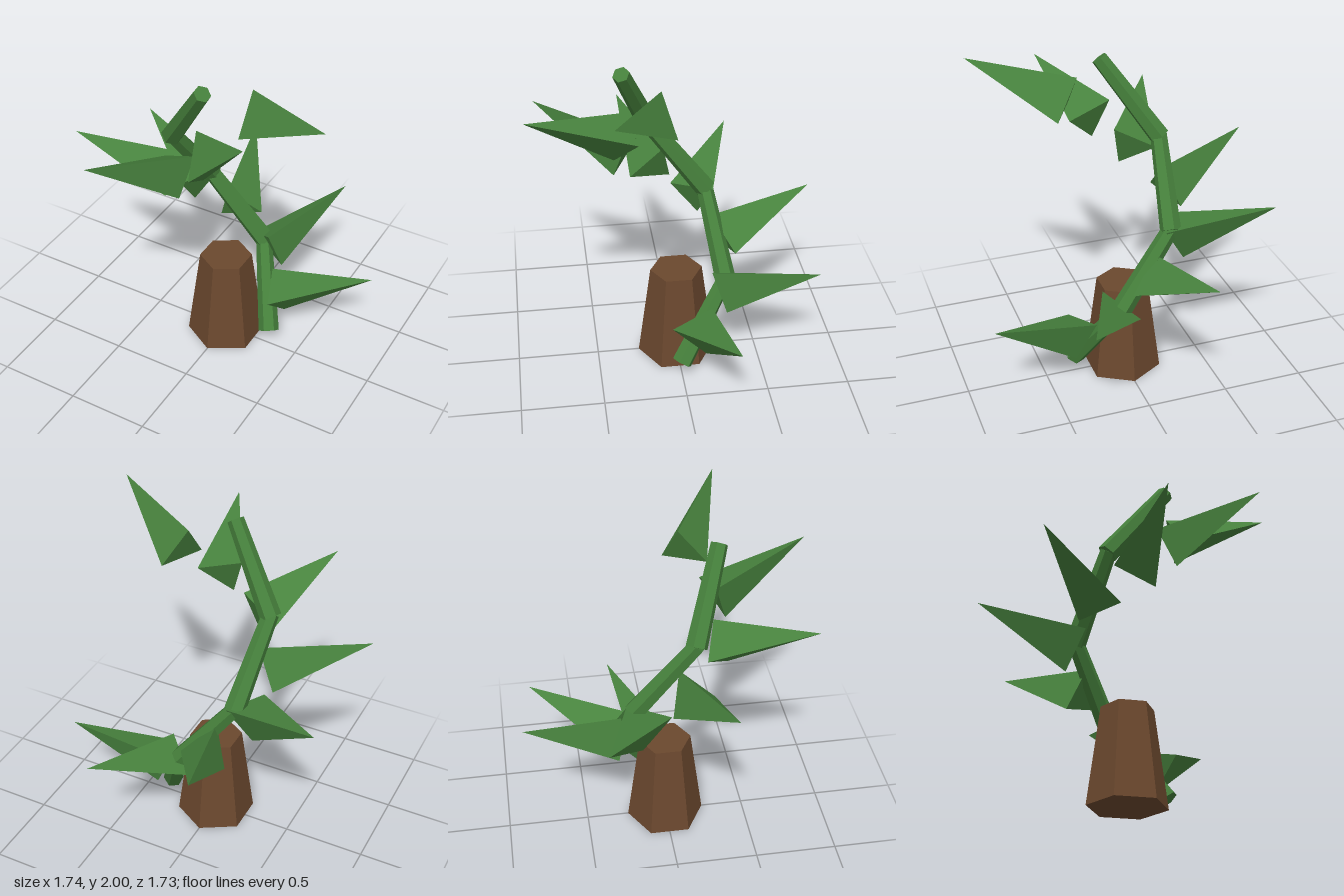
import * as THREE from 'three';

const UP = new THREE.Vector3(0, 1, 0);

// Point on a spiral winding around the y axis, from +x towards -z
const spiral = (angle, radius, y) =>
  new THREE.Vector3(Math.cos(angle) * radius, y, -Math.sin(angle) * radius);

export function createModel() {
  const material = (name, color) => {
    const m = new THREE.MeshStandardMaterial({ color, flatShading: true });
    m.name = name;
    return m;
  };
  const bark = material('bark brown', 0x6b482e);
  const vineGreen = material('vine green', 0x457f3b);
  const leafGreen = material('leaf green', 0x48833e);

  const model = new THREE.Group();
  model.name = 'stumpWithVine';

  // Mesh whose own y axis runs from one point to another
  const addBetween = (name, geometry, mat, from, to) => {
    const mesh = new THREE.Mesh(geometry, mat);
    mesh.name = name;
    mesh.position.addVectors(from, to).multiplyScalar(0.5);
    mesh.quaternion.setFromUnitVectors(UP, to.clone().sub(from).normalize());
    model.add(mesh);
  };

  // Tapered six-sided stump
  const stump = new THREE.Mesh(new THREE.CylinderGeometry(0.16, 0.24, 0.6, 6), bark);
  stump.name = 'stump';
  stump.position.y = 0.3;
  model.add(stump);

  // Four straight vine pieces following the spiral
  for (let i = 0; i < 4; i++) {
    const a = spiral(i * 1.2, 0.31, 0.12 + i * 0.453);
    const b = spiral((i + 1) * 1.2, 0.31, 0.12 + (i + 1) * 0.453);
    const length = a.distanceTo(b) + 0.02;
    addBetween('vineSegment' + (i + 1),
      new THREE.CylinderGeometry(0.05, 0.064, length, 6), vineGreen, a, b);
  }

  // Eight three-sided leaves fanning outwards and rising
  for (let i = 0; i < 8; i++) {
    const angle = THREE.MathUtils.degToRad(16.7 + i * 45.15);
    const tipY = 0.565 + i * 0.205;
    const base = spiral(angle, 0.314, tipY - 0.23);
    const tip = spiral(angle, 0.908, tipY);
    addBetween('leaf' + (i + 1),
      new THREE.ConeGeometry(0.162, base.distanceTo(tip), 3), leafGreen, base, tip);
  }

  return model;
}
